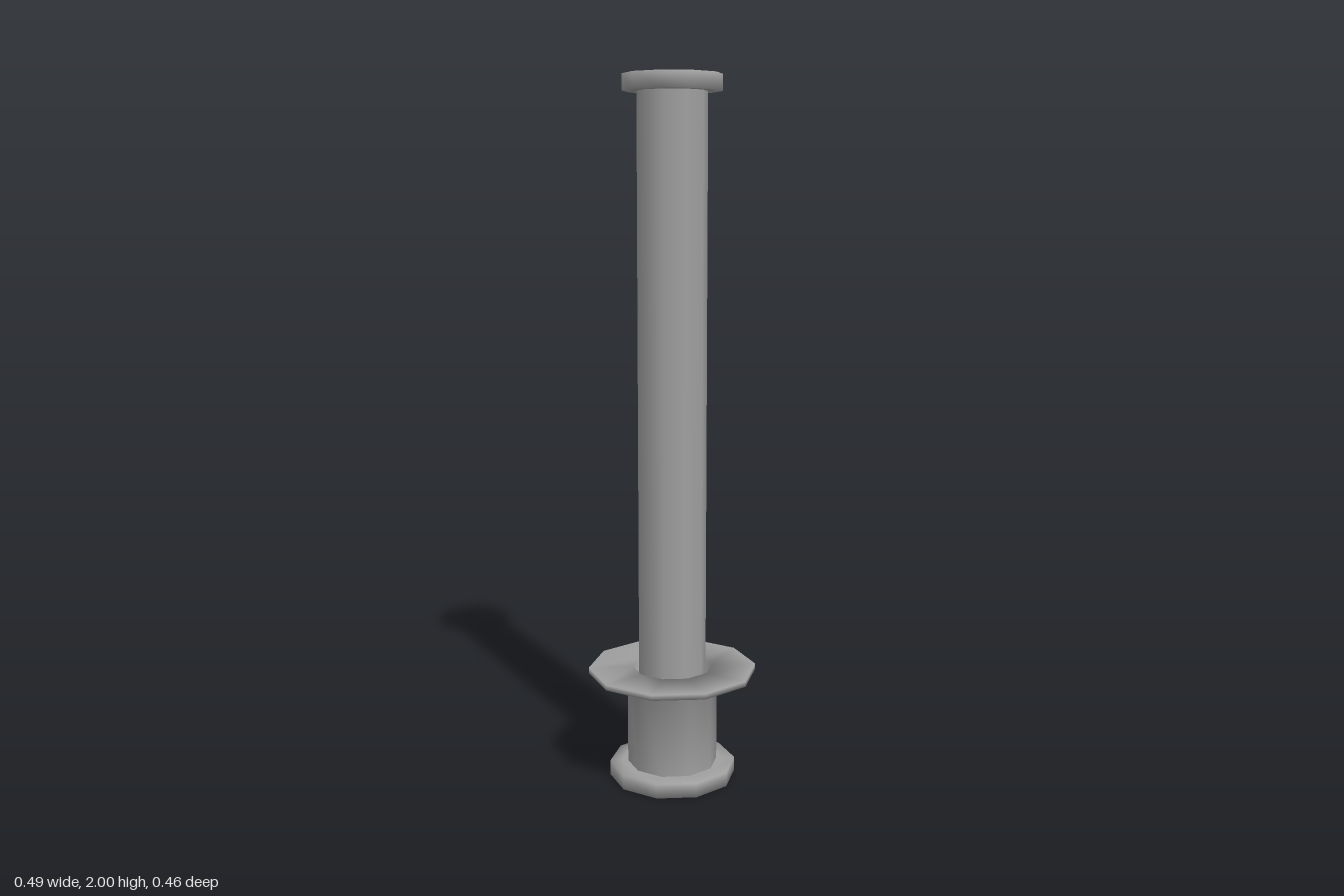
import * as THREE from 'three';

const SIDES = 10;

export function createModel() {
  const group = new THREE.Group();
  const grey = new THREE.MeshStandardMaterial({ color: 0xa0a0a0 });
  grey.name = 'grey';

  // Ten-sided turned part from [radius, height] pairs, with corners on the x axis
  const turned = (name, profile) => {
    const points = profile.map(([r, y]) => new THREE.Vector2(r, y));
    const mesh = new THREE.Mesh(new THREE.LatheGeometry(points, SIDES, Math.PI / 2), grey);
    mesh.name = name;
    group.add(mesh);
  };

  // Soft-edged disc with flat faces inset from its rim
  const disc = (name, radius, bottom, top) => {
    const inset = radius * 0.8;
    turned(name, [
      [0, bottom], [inset, bottom], [radius, bottom],
      [radius, top], [inset, top], [0, top],
    ]);
  };

  disc('baseDisc', 0.183, 0, 0.042);

  // Hollow barrel with a thin flange around its open top
  turned('barrel', [
    [0.13, 0.04], [0.13, 0.314], [0.243, 0.314],
    [0.243, 0.33], [0.115, 0.33], [0.115, 0.05], [0, 0.05],
  ]);

  // Long rod running down into the barrel
  turned('rod', [[0.097, 0.05], [0.097, 1.96]]);

  disc('topCap', 0.137, 1.955, 2);

  return group;
}
